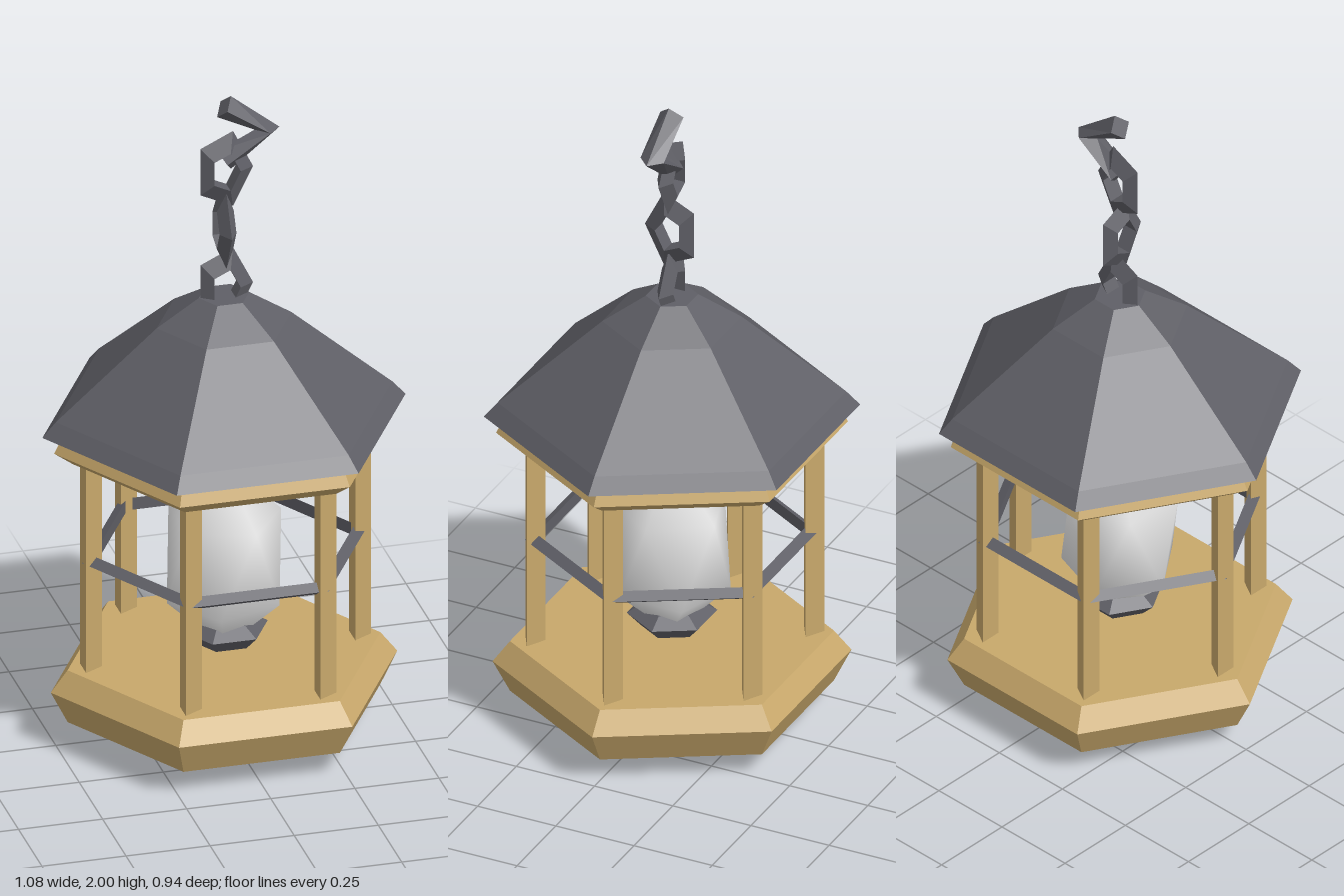
import * as THREE from 'three';
import { mergeVertices } from 'three/addons/utils/BufferGeometryUtils.js';

const material = (name, color) => {
  const m = new THREE.MeshStandardMaterial({ color });
  m.name = name;
  return m;
};

// Give every face its own normal for the faceted look
function facet(geometry) {
  const g = geometry.index ? geometry.toNonIndexed() : geometry;
  g.computeVertexNormals();
  return g;
}

// Six-sided turned shape with corners on the x axis; profile runs [radius, y] upwards
const hexLathe = (profile) => facet(new THREE.LatheGeometry(
  profile.map(([r, y]) => new THREE.Vector2(r, y)), 6, Math.PI / 2));

export function createModel() {
  const group = new THREE.Group();
  const wood = material('wood', 0xc8a86b);
  const iron = material('dark iron', 0x5f5f66);
  const glass = material('pale glass', 0xe6e6e6);

  const add = (name, geometry, mat) => {
    const mesh = new THREE.Mesh(geometry, mat);
    mesh.name = name;
    group.add(mesh);
    return mesh;
  };

  // Wooden base, upper rim and iron roof
  add('base', hexLathe([[0, 0], [0.2, 0.005], [0.465, 0.07], [0.515, 0.17], [0.465, 0.235], [0, 0.235]]), wood);
  add('upperRim', hexLathe([[0, 0.89], [0.45, 0.89], [0.505, 0.93], [0.475, 0.99], [0, 0.99]]), wood);
  add('roof', hexLathe([[0, 0.985], [0.54, 0.985], [0.5, 1.03], [0.2, 1.29], [0.075, 1.37], [0, 1.37]]), iron);

  // Triangular posts, all facing the same way
  for (let i = 0; i < 6; i++) {
    const a = (i * Math.PI) / 3;
    const post = add('post', facet(new THREE.CylinderGeometry(0.0375, 0.0375, 0.66, 3, 1, false, Math.PI / 2)), wood);
    post.position.set(0.4 * Math.cos(a), 0.5625, 0.4 * Math.sin(a));
  }

  // Iron rail ring through the posts
  const rail = add('rail', facet(new THREE.TorusGeometry(0.4, 0.022, 3, 6).rotateX(Math.PI / 2)), iron);
  rail.position.y = 0.57;

  // Stretched smooth globe standing on one point
  let globe = new THREE.IcosahedronGeometry(1, 0);
  globe.rotateZ(-Math.atan(2 / (1 + Math.sqrt(5))));
  globe.scale(0.19, 0.29, 0.19);
  globe.deleteAttribute('normal');
  globe.deleteAttribute('uv');
  globe = mergeVertices(globe, 1e-4);
  globe.computeVertexNormals();
  add('lampGlobe', globe, glass).position.y = 0.54;

  // Collar around the foot of the globe
  add('globeCollar', hexLathe([[0.06, 0.3], [0.09, 0.275], [0.13, 0.317], [0.085, 0.345], [0.06, 0.345], [0.06, 0.3]]), iron);

  // Five-sided chain links, alternate ones turned a quarter
  for (let i = 0; i < 3; i++) {
    const g = new THREE.TorusGeometry(0.0575, 0.029, 3, 5).scale(1, 1.45, 1);
    if (i === 1) g.rotateY(-Math.PI / 2);
    add('chainLink', facet(g), iron).position.y = 1.4 + 0.185 * i;
  }

  // Bent square hook with capped ends
  const [top, bend, foot] = [[0, 1.97], [0.128, 1.885], [0, 1.8]].map(([x, y]) => new THREE.Vector3(x, y, 0));
  const path = new THREE.CurvePath();
  path.add(new THREE.LineCurve3(top, bend));
  path.add(new THREE.LineCurve3(bend, foot));
  add('hook', facet(new THREE.TubeGeometry(path, 2, 0.037, 4, false)), iron);
  for (const end of [top, foot]) {
    const cap = add('hookEnd', new THREE.CircleGeometry(0.037, 4), iron);
    cap.position.copy(end);
    cap.lookAt(end.clone().multiplyScalar(2).sub(bend));
  }

  return group;
}
